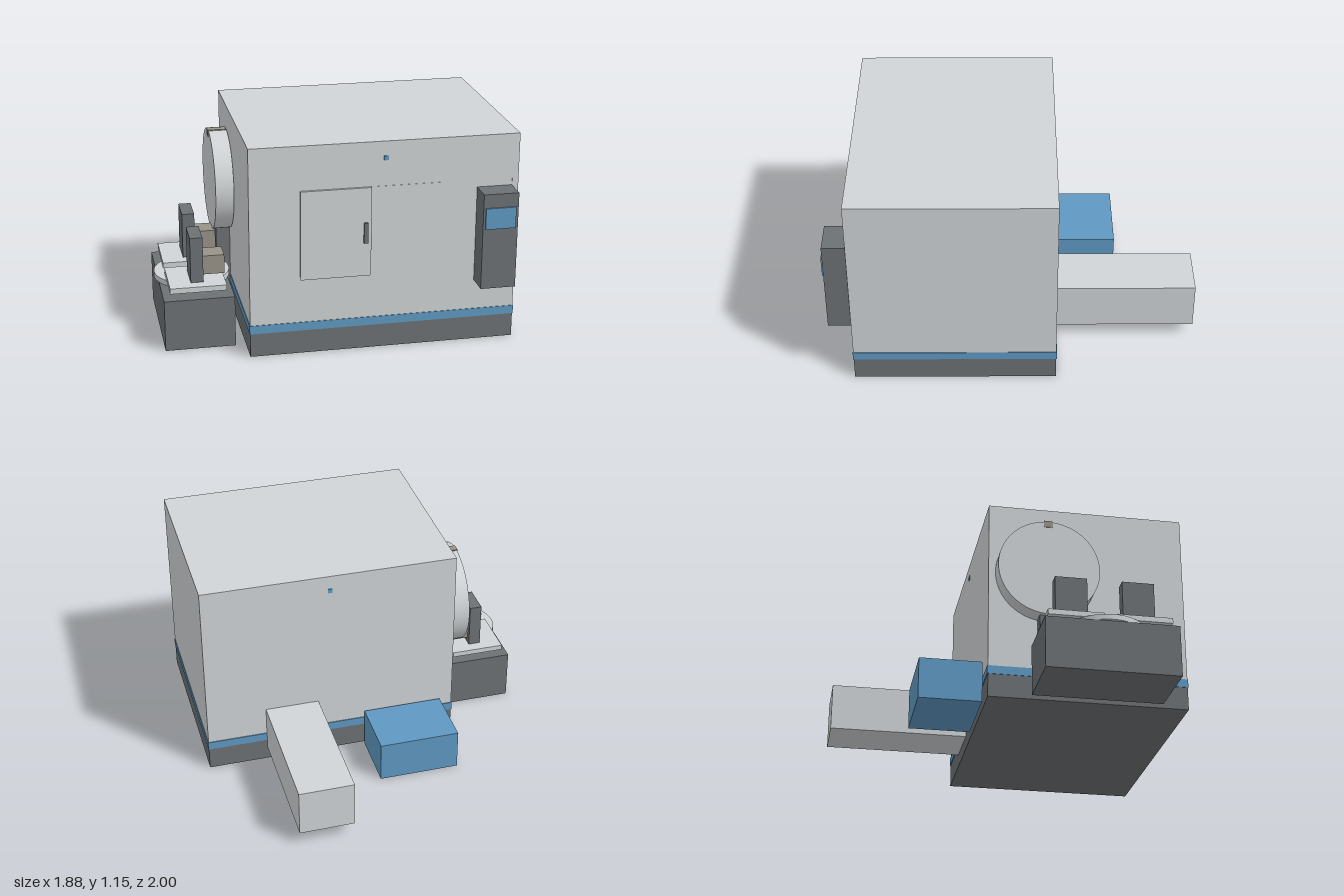
import * as THREE from 'three';

const mat = (name, color) => {
  const m = new THREE.MeshStandardMaterial({ color });
  m.name = name;
  return m;
};

export function createModel() {
  const grey = mat('light grey', 0xd0d4d6);
  const dark = mat('dark grey', 0x6c7174);
  const blue = mat('blue', 0x5f99c3);
  const beige = mat('warm grey', 0x989389);

  const model = new THREE.Group();
  model.name = 'machiningCentre';

  // Box given by its limits on each axis
  const box = (name, material, [x0, x1], [y0, y1], [z0, z1], parent = model) => {
    const mesh = new THREE.Mesh(new THREE.BoxGeometry(x1 - x0, y1 - y0, z1 - z0), material);
    mesh.position.set((x0 + x1) / 2, (y0 + y1) / 2, (z0 + z1) / 2);
    mesh.name = name;
    parent.add(mesh);
    return mesh;
  };
  const disc = (name, material, radius, height, x, y, z, parent = model) => {
    const mesh = new THREE.Mesh(new THREE.CylinderGeometry(radius, radius, height, 64), material);
    mesh.position.set(x, y, z);
    mesh.name = name;
    parent.add(mesh);
    return mesh;
  };

  // Enclosure on its plinth
  box('plinth', dark, [-0.495, 0.935], [0, 0.13], [-0.228, 0.865]);
  box('stripe', blue, [-0.498, 0.938], [0.13, 0.177], [-0.232, 0.868]);
  box('enclosure', grey, [-0.495, 0.935], [0.177, 1.15], [-0.228, 0.865]);
  box('frontLamp', blue, [0.21, 0.234], [1.048, 1.072], [0.865, 0.87]);
  box('backLamp', blue, [0.21, 0.234], [1.048, 1.072], [-0.233, -0.228]);

  // Front doors
  const doors = new THREE.Group();
  doors.name = 'doors';
  model.add(doors);
  box('slidingDoor', grey, [-0.228, 0.145], [0.42, 0.908], [0.865, 0.878], doors);
  box('fixedDoor', grey, [0.145, 0.525], [0.415, 0.908], [0.865, 0.867], doors);
  box('doorSeal', blue, [0.145, 0.147], [0.56, 0.72], [0.867, 0.876], doors);
  box('doorHandle', dark, [0.105, 0.127], [0.605, 0.717], [0.878, 0.89], doors);
  box('trimStrip', grey, [0.9, 0.91], [0.415, 0.905], [0.865, 0.87], doors);

  // Operator panel
  const panel = new THREE.Group();
  panel.name = 'operatorPanel';
  model.add(panel);
  box('panelCase', dark, [0.712, 0.9], [0.343, 0.868], [0.865, 0.992], panel);
  box('panelScreen', blue, [0.724, 0.886], [0.678, 0.793], [0.992, 1], panel);

  // Chip conveyor and coolant tank at the back
  box('chipConveyor', grey, [0.297, 0.6], [0.077, 0.34], [-1, -0.228]);
  box('coolantTank', blue, [-0.417, 0.032], [0, 0.23], [-0.587, -0.245]);

  // Tool magazine on the side wall
  const magazine = new THREE.Group();
  magazine.name = 'toolMagazine';
  model.add(magazine);
  disc('magazineDrum', grey, 0.281, 0.1, -0.548, 0.738, 0.09, magazine).rotation.z = Math.PI / 2;
  box('toolGripper', beige, [-0.602, -0.5], [0.985, 1.023], [0.062, 0.11], magazine);
  box('magazinePost', dark, [-0.572, -0.495], [0.06, 0.51], [0.04, 0.14], magazine);

  // Pallet changer
  const changer = new THREE.Group();
  changer.name = 'palletChanger';
  model.add(changer);
  box('changerBase', dark, [-0.926, -0.55], [0, 0.283], [-0.002, 0.71], changer);
  disc('turntable', grey, 0.205, 0.03, -0.739, 0.298, 0.354, changer);

  // Two pallets, each with an upright fixture and a workpiece
  for (const z of [0.17, 0.534]) {
    box('pallet', grey, [-0.89, -0.588], [0.313, 0.343], [z - 0.15, z + 0.15], changer);
    box('fixtureColumn', dark, [-0.773, -0.705], [0.343, 0.595], [z - 0.087, z + 0.087], changer);
    box('workpiece', beige, [-0.705, -0.588], [0.375, 0.48], [z - 0.06, z + 0.06], changer);
  }

  return model;
}
